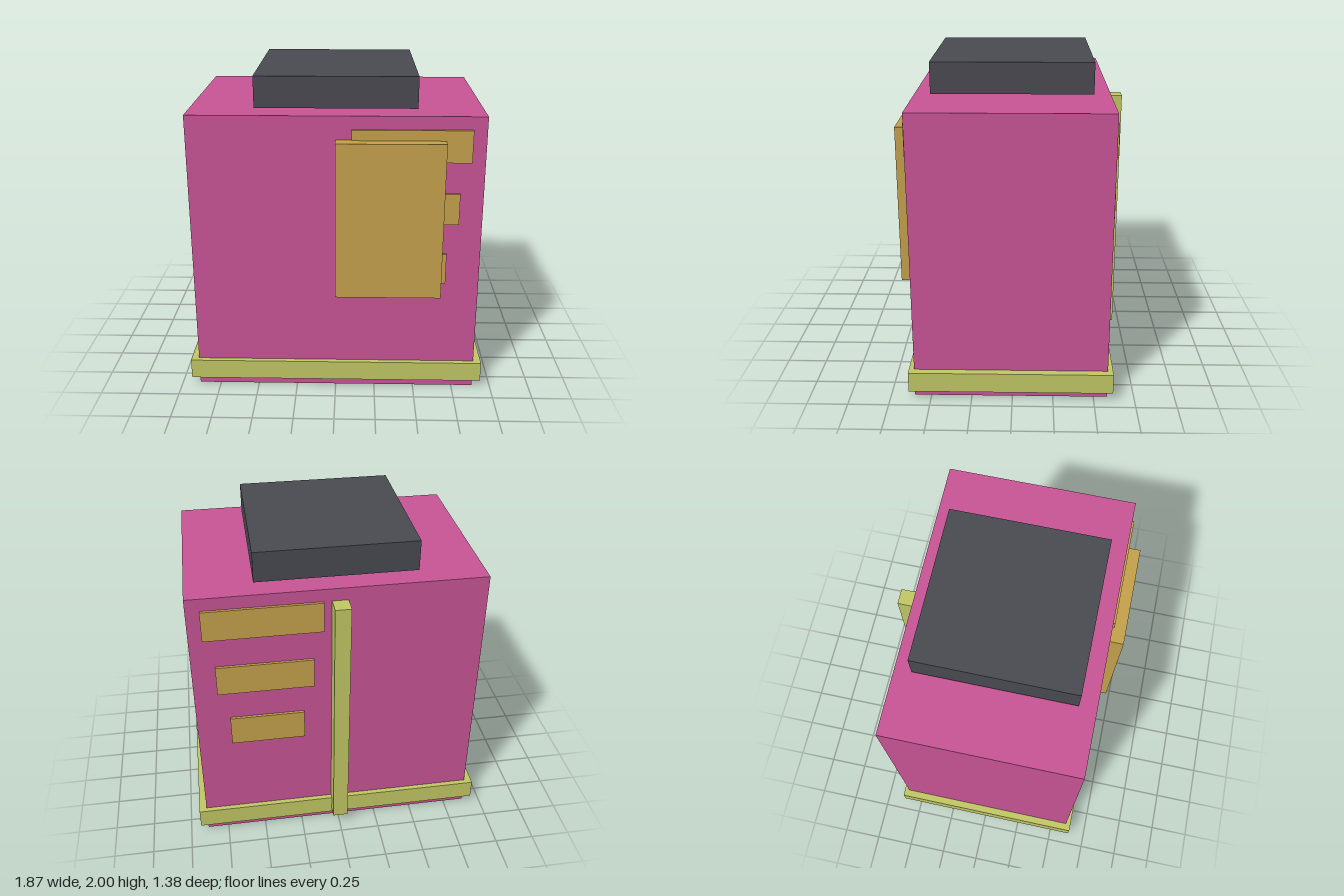
import * as THREE from 'three';

export function createModel() {
  const group = new THREE.Group();
  const material = (name, color) => {
    const m = new THREE.MeshStandardMaterial({ color });
    m.name = name;
    return m;
  };
  const pink = material('pink', 0xca5597);
  const charcoal = material('charcoal', 0x4a4a52);
  const gold = material('gold', 0xc6a24c);
  const lime = material('lime', 0xc3c966);

  // Box given by its extents along each axis
  const addBox = (name, mat, [x0, x1], [y0, y1], [z0, z1]) => {
    const mesh = new THREE.Mesh(new THREE.BoxGeometry(x1 - x0, y1 - y0, z1 - z0), mat);
    mesh.position.set((x0 + x1) / 2, (y0 + y1) / 2, (z0 + z1) / 2);
    mesh.name = name;
    group.add(mesh);
  };

  // Main block, floating cap and base band
  addBox('body', pink, [-0.886, 0.886], [0, 1.79], [-0.585, 0.603]);
  addBox('cap', charcoal, [-0.487, 0.487], [1.81, 2], [-0.478, 0.496]);
  addBox('baseBand', lime, [-0.933, 0.933], [0.053, 0.18], [-0.617, 0.635]);

  // Upright post on the back, thick panel on the front
  addBox('backPost', lime, [-0.05, 0.047], [0.085, 1.71], [-0.69, -0.58]);
  addBox('frontPanel', gold, [0, 0.647], [0.67, 1.647], [0.6, 0.692]);

  // Three slats, shorter downwards, on both front and back
  [0.355, 0.295, 0.23].forEach((half, i) => {
    const x = [0.45 - half, 0.45 + half];
    const top = 1.71 - i * 0.39;
    const y = [top - 0.196, top];
    addBox('frontSlat' + (i + 1), gold, x, y, [0.59, 0.618]);
    addBox('backSlat' + (i + 1), gold, x, y, [-0.602, -0.575]);
  });

  return group;
}
